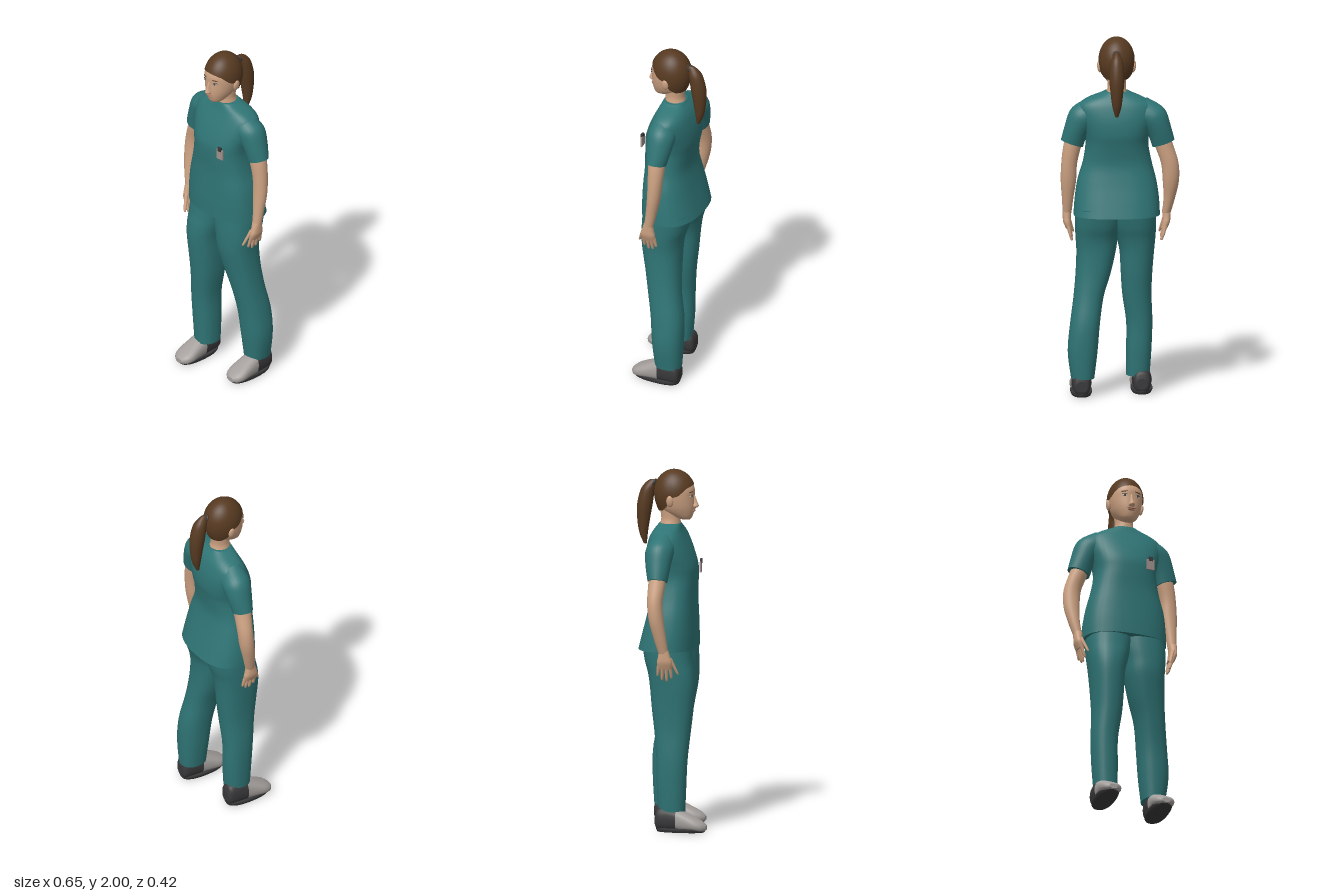
import * as THREE from 'three';

const mat = (name, color) => {
  const m = new THREE.MeshStandardMaterial({ color, side: THREE.DoubleSide });
  m.name = name;
  return m;
};

// Smooth 1D interpolation through four values
const spline = (a, b, c, d, t) =>
  0.5 * (2 * b + (c - a) * t + (2 * a - 5 * b + 4 * c - d) * t * t + (3 * b - a - 3 * c + d) * t * t * t);

// Closed body through rings [y, x0, x1, z0, z1, tilt], listed from bottom to top
function loft(rings, { n = 28, p = 2, steps = 4, ripple = 0 } = {}) {
  const at = i => rings[Math.max(0, Math.min(rings.length - 1, i))];
  const fine = [];
  for (let i = 0; i < rings.length - 1; i++)
    for (let s = 0; s < steps; s++)
      fine.push([0, 1, 2, 3, 4, 5].map(k =>
        spline(at(i - 1)[k] || 0, at(i)[k] || 0, at(i + 1)[k] || 0, at(i + 2)[k] || 0, s / steps)));
  fine.push(at(rings.length));
  const pos = [], idx = [];
  const addRing = ([y, x0, x1, z0, z1, tilt = 0]) => {
    for (let j = 0; j < n; j++) {
      const a = j / n * Math.PI * 2, s = Math.sin(a), c = Math.cos(a);
      const k = 1 + (j % 2 ? -ripple : ripple);
      const dx = (x1 - x0) / 2 * Math.sign(s) * Math.abs(s) ** (2 / p) * k;
      const dz = (z1 - z0) / 2 * Math.sign(c) * Math.abs(c) ** (2 / p) * k;
      pos.push((x0 + x1) / 2 + dx, y + tilt * dx, (z0 + z1) / 2 + dz);
    }
  };
  fine.forEach(addRing);
  for (let i = 0; i < fine.length - 1; i++)
    for (let j = 0; j < n; j++) {
      const a = i * n + j, b = i * n + (j + 1) % n;
      idx.push(a, b, b + n, a, b + n, a + n);
    }
  // end caps with their own vertices
  [[fine[0], false], [fine[fine.length - 1], true]].forEach(([r, top]) => {
    const start = pos.length / 3;
    addRing(r);
    pos.push((r[1] + r[2]) / 2, r[0], (r[3] + r[4]) / 2);
    for (let j = 0; j < n; j++) {
      const a = start + j, b = start + (j + 1) % n;
      idx.push(start + n, top ? a : b, top ? b : a);
    }
  });
  const g = new THREE.BufferGeometry();
  g.setAttribute('position', new THREE.Float32BufferAttribute(pos, 3));
  g.setIndex(idx);
  g.computeVertexNormals();
  return g;
}

// Rings of one side: side 1 keeps them, side -1 mirrors them; then they shift
const place = (rings, side, dx = 0, dz = 0) => rings.map(([y, a, b, c, d, t = 0]) =>
  side > 0 ? [y, a + dx, b + dx, c + dz, d + dz, t] : [y, -b + dx, -a + dx, c + dz, d + dz, -t]);

// Hair cap whose lower edge follows the hairline
function hairCap() {
  const line = [[-1.01, 1.77], [-0.6, 1.775], [-0.25, 1.8], [0, 1.85], [0.35, 1.862], [0.7, 1.9], [1.01, 1.918]];
  const hairline = c => {
    const i = line.findIndex(q => q[0] > c), [c0, y0] = line[i - 1], [c1, y1] = line[i];
    return y0 + (y1 - y0) * (c - c0) / (c1 - c0);
  };
  const n = 48, m = 14, pos = [], idx = [];
  for (let i = 0; i <= m; i++)
    for (let j = 0; j < n; j++) {
      const a = j / n * Math.PI * 2, s = Math.sin(a), c = Math.cos(a);
      const low = hairline(c), y = low + (2 - low) * Math.sin(i / m * Math.PI / 2);
      const h = (y - 1.87) / 0.13;
      const f = h > 0 ? Math.sqrt(Math.max(0, 1 - h * h)) : 1 - 0.4 * h * h;
      pos.push(0.018 + 0.1 * f * s, y, (c > 0 ? 0.119 : 0.112) * f * c);
      if (i < m) {
        const p = i * n + j, q = i * n + (j + 1) % n;
        idx.push(p, q, q + n, p, q + n, p + n);
      }
    }
  const g = new THREE.BufferGeometry();
  g.setAttribute('position', new THREE.Float32BufferAttribute(pos, 3));
  g.setIndex(idx);
  g.computeVertexNormals();
  return g;
}

export function createModel() {
  const model = new THREE.Group();
  const scrubs = mat('teal cloth', 0x2f7475), skin = mat('skin', 0xcda282), hair = mat('brown hair', 0x573a21);
  const lip = mat('lips', 0xa87462), grey = mat('shoe grey', 0xa39e9b), dark = mat('dark trim', 0x39383a);
  const white = mat('eye white', 0xd8cec6), card = mat('badge', 0xa08f8a);
  const add = (name, geo, material, x = 0, y = 0, z = 0) => {
    const mesh = new THREE.Mesh(geo, material);
    mesh.name = name;
    mesh.position.set(x, y, z);
    model.add(mesh);
    return mesh;
  };
  const blob = (name, material, x, y, z, sx, sy, sz) => {
    const mesh = add(name, new THREE.SphereGeometry(1, 16, 12), material, x, y, z);
    mesh.scale.set(sx, sy, sz);
    return mesh;
  };

  // Tunic
  add('tunic', loft([
    [1.01, -0.22, 0.257, -0.188, 0.13], [1.1, -0.215, 0.25, -0.165, 0.13], [1.2, -0.2, 0.235, -0.14, 0.127],
    [1.3, -0.175, 0.205, -0.123, 0.125], [1.4, -0.157, 0.19, -0.135, 0.13], [1.47, -0.165, 0.197, -0.148, 0.127],
    [1.55, -0.185, 0.22, -0.146, 0.1], [1.62, -0.185, 0.23, -0.13, 0.068], [1.66, -0.14, 0.19, -0.112, 0.05],
    [1.69, -0.072, 0.112, -0.09, 0.04], [1.7, -0.05, 0.09, -0.083, 0.036]], { n: 36, p: 2.5 }), scrubs);

  // Trouser legs, the right one forward
  add('rightTrouserLeg', loft([
    [0.1, -0.165, -0.035, -0.06, 0.085], [0.25, -0.175, -0.035, -0.07, 0.092], [0.4, -0.18, -0.035, -0.072, 0.1],
    [0.55, -0.175, -0.014, -0.085, 0.115], [0.68, -0.18, -0.005, -0.1, 0.13], [0.8, -0.19, 0.002, -0.11, 0.14],
    [0.88, -0.197, 0.022, -0.122, 0.135], [0.95, -0.2, 0.045, -0.142, 0.122], [1.05, -0.2, 0.07, -0.16, 0.11]],
    { p: 2.3 }), scrubs);
  add('leftTrouserLeg', loft([
    [0.1, 0.143, 0.272, -0.15, 0], [0.25, 0.125, 0.29, -0.158, 0.015], [0.4, 0.112, 0.277, -0.155, 0.03],
    [0.55, 0.09, 0.257, -0.128, 0.058], [0.68, 0.05, 0.245, -0.115, 0.085], [0.8, 0.022, 0.24, -0.113, 0.11],
    [0.88, 0.01, 0.245, -0.122, 0.115], [0.95, -0.01, 0.248, -0.145, 0.115], [1.05, -0.03, 0.25, -0.165, 0.11]],
    { p: 2.3 }), scrubs);

  // Sleeves, hands and shoes share one shape per pair
  const sleeve = [
    [1.41, 0.178, 0.3, -0.095, 0.015, 0.33], [1.48, 0.155, 0.28, -0.11, 0.025, 0.4],
    [1.545, 0.12, 0.255, -0.12, 0.035, 0.6], [1.57, 0.1, 0.215, -0.118, 0.04, 1], [1.58, 0.03, 0.15, -0.11, 0.045, 1.4]];
  const palm = [[0.925, 0.262, 0.298, -0.03, 0.052], [0.96, 0.268, 0.312, -0.032, 0.054],
    [0.99, 0.27, 0.315, -0.026, 0.045], [1.03, 0.267, 0.316, -0.02, 0.032]];
  // finger: base y, z and tip x, y, z
  const fingers = [[0.94, -0.022, 0.272, 0.882, -0.032], [0.94, -0.002, 0.265, 0.858, -0.008],
    [0.94, 0.019, 0.263, 0.853, 0.018], [0.94, 0.04, 0.262, 0.868, 0.045], [0.985, 0.04, 0.255, 0.89, 0.08]];
  const heel = [[-0.15, -0.03, 0.03, -0.09, -0.03], [-0.135, -0.046, 0.046, -0.13, -0.008],
    [-0.08, -0.052, 0.052, -0.14, -0.003], [-0.03, -0.054, 0.054, -0.13, -0.003]];
  const toe = [[-0.03, -0.054, 0.054, -0.13, -0.003], [0.03, -0.059, 0.059, -0.102, -0.003],
    [0.08, -0.062, 0.062, -0.076, -0.003], [0.115, -0.05, 0.05, -0.056, -0.004], [0.135, -0.024, 0.024, -0.038, -0.012]];
  const sole = [[0, -0.054, 0.054, -0.14, 0.122], [0.012, -0.06, 0.06, -0.146, 0.131], [0.022, -0.06, 0.06, -0.147, 0.132]];

  [['left', 1], ['right', -1]].forEach(([name, side]) => {
    const left = side > 0;
    add(name + 'Sleeve', loft(place(sleeve, side, left ? 0.026 : 0, left ? 0.012 : 0)), scrubs);
    const hx = left ? 0 : 0.035, hz = left ? 0 : -0.008;
    add(name + 'Hand', loft(place(palm, side, hx, hz), { n: 16, p: 2.3 }), skin);
    fingers.forEach(([y, z, tx, ty, tz], i) => {
      const dot = (t, r) => [ty + (y - ty) * t, tx + (0.284 - tx) * t - r, tx + (0.284 - tx) * t + r,
        tz + (z - tz) * t - r, tz + (z - tz) * t + r];
      add(name + (i < 4 ? 'Finger' : 'Thumb'),
        loft(place([dot(0, 0.003), dot(0.1, 0.0075), dot(0.6, 0.01), dot(1, 0.012)], side, hx, hz), { n: 8, steps: 2 }), skin);
    });
    const fx = left ? 0.214 : -0.121, fz = left ? 0 : 0.075;
    add(name + 'ShoeHeel', loft(heel, { n: 24, p: 2.4 }).rotateX(Math.PI / 2), dark, fx, 0, fz);
    add(name + 'ShoeToe', loft(toe, { n: 24, p: 2.4 }).rotateX(Math.PI / 2), grey, fx, 0, fz);
    add(name + 'Sole', loft(sole, { p: 2.4 }), dark, fx, 0, fz);
  });

  // Bare arms
  add('rightArm', loft([
    [1.01, -0.28, -0.232, -0.03, 0.025], [1.1, -0.305, -0.24, -0.055, 0.015], [1.2, -0.325, -0.235, -0.08, 0.002],
    [1.3, -0.322, -0.225, -0.09, -0.005], [1.4, -0.292, -0.19, -0.09, 0.005], [1.48, -0.265, -0.17, -0.09, 0.005]]), skin);
  add('leftArm', loft([
    [1.01, 0.267, 0.315, -0.02, 0.032], [1.1, 0.256, 0.32, -0.04, 0.022], [1.2, 0.242, 0.327, -0.06, 0.014],
    [1.3, 0.236, 0.324, -0.07, 0.012], [1.4, 0.212, 0.312, -0.077, 0.017], [1.48, 0.19, 0.29, -0.077, 0.017]]), skin);

  // Head and neck
  const hx = 0.018;
  add('neck', loft([[1.64, -0.062, 0.062, -0.09, 0.035], [1.695, -0.056, 0.056, -0.078, 0.036],
    [1.73, -0.05, 0.05, -0.072, 0.035], [1.79, -0.055, 0.055, -0.08, 0.035]]), skin, hx);
  add('head', loft([
    [1.722, -0.022, 0.022, 0.045, 0.088], [1.735, -0.043, 0.043, 0.005, 0.1], [1.765, -0.064, 0.064, -0.055, 0.11],
    [1.8, -0.079, 0.079, -0.085, 0.114], [1.85, -0.089, 0.089, -0.098, 0.113], [1.9, -0.089, 0.089, -0.1, 0.112],
    [1.95, -0.073, 0.073, -0.082, 0.085], [1.985, -0.038, 0.038, -0.04, 0.04]], { n: 36, p: 2.1 }), skin, hx);
  add('nose', loft([[1.788, -0.013, 0.013, 0.09, 0.126], [1.798, -0.018, 0.018, 0.09, 0.139],
    [1.82, -0.011, 0.011, 0.09, 0.131], [1.865, -0.008, 0.008, 0.09, 0.113]], { n: 14 }), skin, hx);
  blob('upperLip', lip, hx, 1.779, 0.112, 0.025, 0.004, 0.007);
  blob('lowerLip', lip, hx, 1.77, 0.11, 0.021, 0.005, 0.008);
  [-1, 1].forEach(s => {
    blob('ear', skin, hx + s * 0.096, 1.832, -0.005, 0.011, 0.032, 0.02).rotation.z = -s * 0.15;
    blob('eye', white, hx + s * 0.037, 1.857, 0.103, 0.014, 0.006, 0.005).rotation.y = s * 0.35;
    blob('iris', dark, hx + s * 0.036, 1.857, 0.106, 0.006, 0.006, 0.004);
    const lid = blob('eyelid', dark, hx + s * 0.038, 1.863, 0.104, 0.016, 0.002, 0.005);
    lid.rotation.y = s * 0.35;
    const brow = blob('eyebrow', hair, hx + s * 0.038, 1.88, 0.104, 0.02, 0.003, 0.005);
    brow.rotation.set(0, s * 0.35, -s * 0.1);
  });

  // Hair and ponytail
  add('hair', hairCap(), hair);
  add('ponytail', loft([
    [1.58, -0.008, 0.008, -0.172, -0.155], [1.64, -0.024, 0.024, -0.196, -0.15], [1.72, -0.034, 0.034, -0.208, -0.138],
    [1.8, -0.04, 0.04, -0.208, -0.124], [1.88, -0.035, 0.035, -0.188, -0.112], [1.92, -0.02, 0.02, -0.16, -0.1],
    [1.938, -0.01, 0.01, -0.135, -0.09]], { n: 32, ripple: 0.04 }), hair, 0.022);
  add('hairTie', new THREE.TorusGeometry(0.017, 0.006, 8, 20), dark, 0.022, 1.92, -0.112).rotation.x = 0.4;

  // Clip-on badge
  add('badge', new THREE.BoxGeometry(0.045, 0.06, 0.008), card, 0.123, 1.443, 0.128).rotation.y = 0.1;
  add('badgeClip', new THREE.BoxGeometry(0.022, 0.024, 0.012), dark, 0.123, 1.476, 0.13);
  return model;
}
